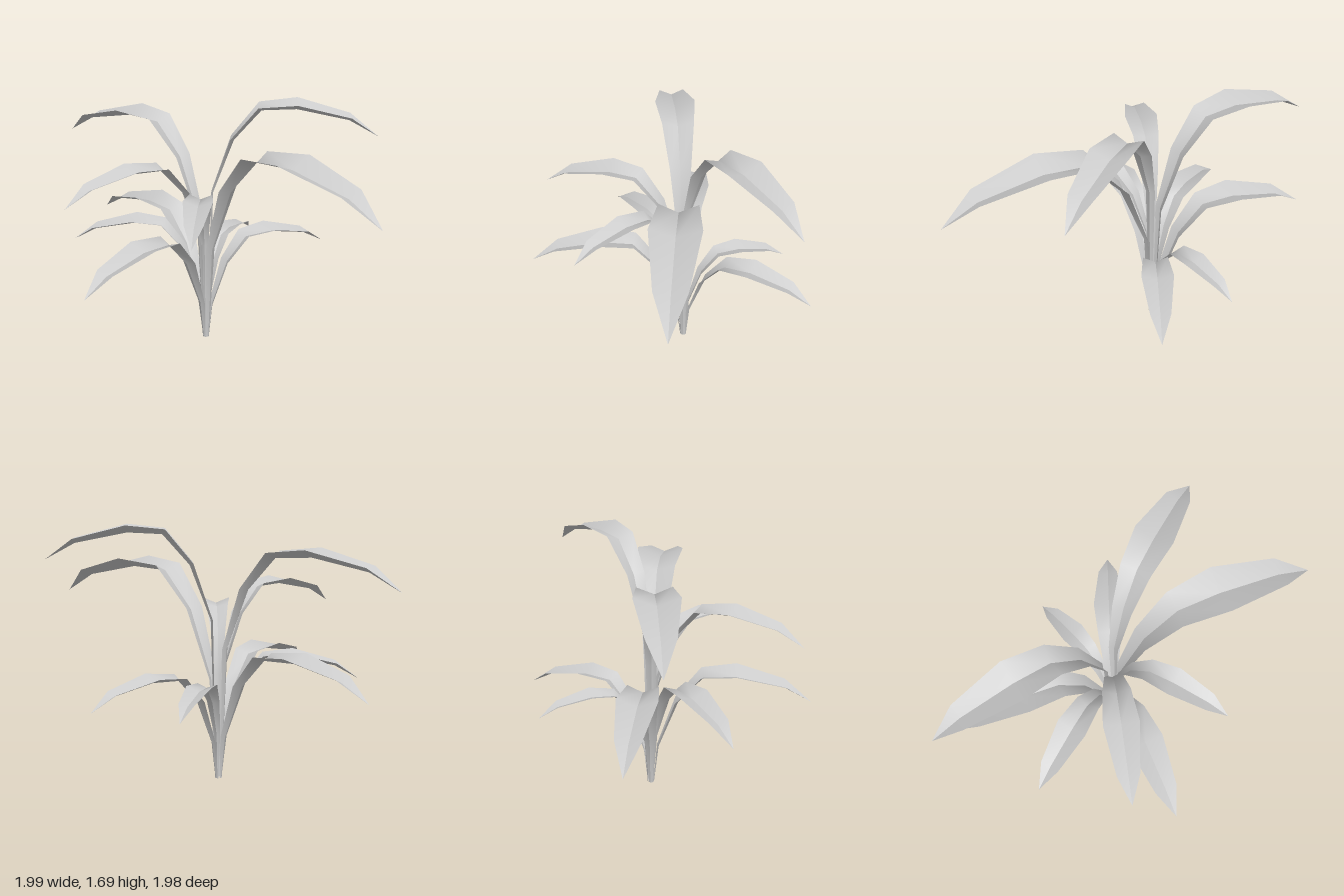
import * as THREE from 'three';

// Leaf stations: [reach, drop below crown, half width], as fractions of leaf length
const STATIONS = [
  [0, null, 0.008], [0.03, 0.52, 0.03], [0.155, 0.19, 0.06], [0.315, 0.01, 0.09],
  [0.52, 0, 0.115], [0.825, 0.06, 0.072], [1, 0.155, 0],
];
const FOLD = 0.4; // how far the edges lift above the midrib, relative to half width
const CENTRE = new THREE.Vector3(-0.105, 0, -0.09);

// Leaf tips: x, y, z
const TIPS = [
  [-0.99, 1.33, -0.91], [-0.77, 0.70, -0.99], [0.29, 0.58, -0.72], [0.775, 0.58, -0.38],
  [0.99, 1.48, 0.12], [0.775, 1.18, 0.99], [-0.27, 1.01, 0.73], [-0.905, 0.655, 0.58],
  [-1, 1.14, 0.31], [-0.99, 0.70, -0.32],
];

// Strip between two rows of points, smooth along its length
function strip(a, b) {
  const geometry = new THREE.BufferGeometry().setFromPoints([...a, ...b]);
  const n = a.length, index = [];
  for (let i = 0; i < n - 1; i++) {
    index.push(i, i + 1, n + i);
    if (i < n - 2) index.push(i + 1, n + i + 1, n + i);
  }
  geometry.setIndex(index);
  geometry.computeVertexNormals();
  return geometry;
}

// Arching leaf with a V-fold: two halves meeting in a sharp midrib
function makeLeaf([x, y, z], material) {
  const up = new THREE.Vector3(0, 1, 0);
  const dir = new THREE.Vector3(x, 0, z).sub(CENTRE).setY(0).normalize();
  const side = new THREE.Vector3().crossVectors(up, dir);
  const base = CENTRE.clone().addScaledVector(dir, 0.022);
  const length = Math.hypot(x - base.x, z - base.z);
  const crown = y + 0.155 * length;

  const rib = STATIONS.map(([reach, drop]) => base.clone()
    .addScaledVector(dir, reach * length)
    .setY(drop === null ? 0.005 : crown - drop * length));

  const edge = (sign) => rib.map((p, i) => {
    const before = rib[Math.max(i - 1, 0)], after = rib[Math.min(i + 1, rib.length - 1)];
    const tangent = after.clone().sub(before).normalize();
    const normal = new THREE.Vector3().crossVectors(tangent, side);
    const half = STATIONS[i][2] * length;
    return p.clone().addScaledVector(side, sign * half).addScaledVector(normal, FOLD * half);
  });

  const leaf = new THREE.Group();
  const halves = { leafHalfLeft: strip(rib, edge(1)), leafHalfRight: strip(edge(-1), rib) };
  for (const [name, geometry] of Object.entries(halves)) {
    const mesh = new THREE.Mesh(geometry, material);
    mesh.name = name;
    leaf.add(mesh);
  }
  return leaf;
}

export function createModel() {
  const plant = new THREE.Group();
  plant.name = 'plant';
  const material = new THREE.MeshStandardMaterial({ color: 0xcccccc, side: THREE.DoubleSide });
  TIPS.forEach((tip, i) => {
    const leaf = makeLeaf(tip, material);
    leaf.name = `leaf${i + 1}`;
    plant.add(leaf);
  });
  return plant;
}
